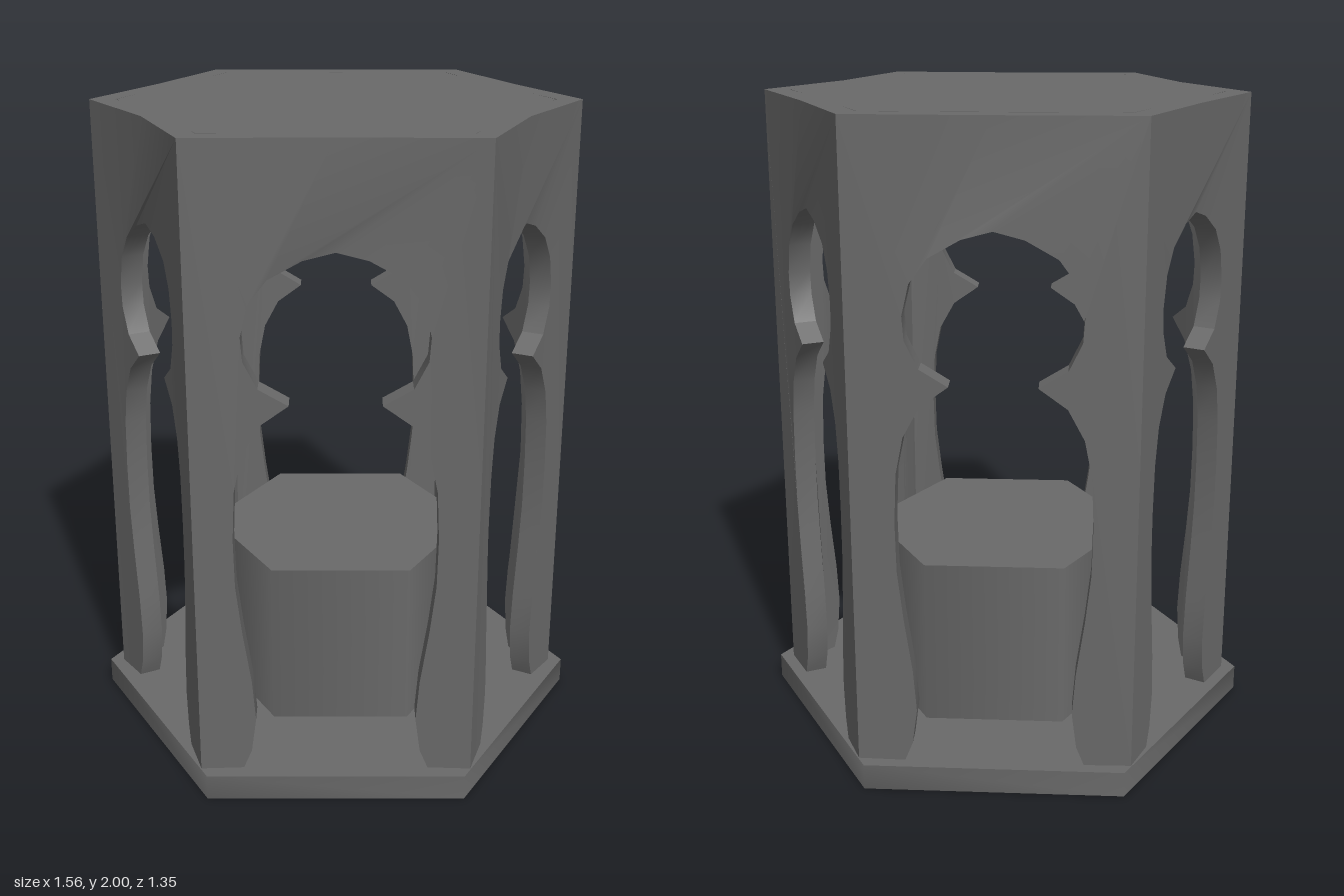
import * as THREE from 'three';
import { toCreasedNormals } from 'three/addons/utils/BufferGeometryUtils.js';

const material = new THREE.MeshStandardMaterial({ color: 0x696969 });
const BASE_TOP = 0.08, TOP = 2, WALL = 0.068;

// Corners [x, z] of the hollow hexagonal body, starting at the front face
const corners = [[-0.41, 0.635], [0.41, 0.635], [0.735, 0], [0.41, -0.635], [-0.41, -0.635], [-0.735, 0]];

// Per wall, from the front round by +x: arch width, sideways shift and inward bow
const panels = [
  { scale: 1, shift: 0, bow: 0.012 },
  { scale: 0.82, shift: 0.008, bow: 0.034 },
  { scale: 0.82, shift: 0.008, bow: 0.01 },
  { scale: 0.96, shift: 0, bow: -0.006 },
  { scale: 0.82, shift: -0.008, bow: 0.01 },
  { scale: 0.82, shift: -0.008, bow: 0.034 },
];

// Half outline of the keyhole arch [half width, y], from the floor to the tip
const arch = [
  [0.28, 0.08], [0.255, 0.14], [0.24, 0.25], [0.25, 0.38], [0.275, 0.55], [0.292, 0.7],
  [0.295, 0.85], [0.288, 1.0], [0.265, 1.11], [0.215, 1.2], [0.13, 1.26], [0.215, 1.31],
  [0.255, 1.39], [0.26, 1.46], [0.238, 1.55], [0.185, 1.62], [0.09, 1.672], [0, 1.695],
];

function hexPoints(radius, xOffset = 0, zOffset = 0) {
  return Array.from({ length: 6 }, (_, i) => new THREE.Vector2(
    xOffset + radius * Math.cos(i * Math.PI / 3), radius * Math.sin(i * Math.PI / 3) - zOffset));
}

// Horizontal slab extruded upwards from y0, shaded softly round its sides
function slab(name, shape, y0, height) {
  const geometry = new THREE.ExtrudeGeometry(shape, { depth: height, bevelEnabled: false });
  geometry.rotateX(-Math.PI / 2).translate(0, y0, 0);
  const mesh = new THREE.Mesh(toCreasedNormals(geometry, 1.2), material);
  mesh.name = name;
  return mesh;
}

// Direction of the body edge that starts at corner i
function edgeAngle(i) {
  const a = corners[(i + 6) % 6], b = corners[(i + 7) % 6];
  return Math.atan2(-(b[1] - a[1]), b[0] - a[0]);
}

// How far the inner face steps in at corner i so neighbouring panels meet
function miter(i) {
  const turn = edgeAngle(i) - edgeAngle(i - 1);
  return WALL * Math.abs(Math.tan(turn / 2));
}

// One wall panel with its arch open to the floor
function archPanel({ scale, shift, bow }, i) {
  const a = corners[i], b = corners[(i + 1) % 6];
  const half = Math.hypot(b[0] - a[0], b[1] - a[1]) / 2;

  const outline = [[half, BASE_TOP], [half, TOP], [0, TOP], [-half, TOP], [-half, BASE_TOP]];
  arch.forEach(([x, y]) => outline.push([shift - x * scale, y]));
  arch.slice(0, -1).reverse().forEach(([x, y]) => outline.push([shift + x * scale, y]));
  const shape = new THREE.Shape(outline.map(([x, y]) => new THREE.Vector2(x, y)));

  const geometry = new THREE.ExtrudeGeometry(shape, { depth: WALL, bevelEnabled: false });
  geometry.translate(0, 0, -WALL);
  const p = geometry.attributes.position;
  for (let k = 0; k < p.count; k++) {
    const x = p.getX(k), inner = p.getZ(k) < -WALL / 2;
    // mitred ends
    if (inner && x > half - 1e-4) p.setX(k, half - miter(i + 1));
    if (inner && x < -half + 1e-4) p.setX(k, -half + miter(i));
    // wall bowed slightly towards its middle
    p.setZ(k, p.getZ(k) - bow * (1 - (x / half) ** 2));
  }

  const mesh = new THREE.Mesh(toCreasedNormals(geometry, 0.5), material);
  mesh.name = 'archPanel' + (i + 1);
  mesh.position.set((a[0] + b[0]) / 2, 0, (a[1] + b[1]) / 2);
  mesh.rotation.y = edgeAngle(i);
  return mesh;
}

export function createModel() {
  const model = new THREE.Group();
  model.name = 'hexagonalLantern';

  // Base plate with a hexagonal hole that holds the pedestal
  const baseShape = new THREE.Shape(hexPoints(0.78));
  baseShape.holes.push(new THREE.Path(hexPoints(0.43, 0.015, -0.02)));
  model.add(slab('base', baseShape, 0, BASE_TOP));

  // Pedestal, its underside recessed in the base
  const pedestal = new THREE.Mesh(
    new THREE.CylinderGeometry(0.43, 0.43, 0.57, 6, 1, false, Math.PI / 6), material);
  pedestal.name = 'pedestal';
  pedestal.position.set(0.015, 0.325, -0.02);
  model.add(pedestal);

  // Six arched walls
  const walls = new THREE.Group();
  walls.name = 'walls';
  panels.forEach((panel, i) => walls.add(archPanel(panel, i)));
  model.add(walls);

  // Flat roof filling the space between the walls
  const roofShape = new THREE.Shape(corners.map(([x, z]) => new THREE.Vector2(x * 0.89, -z * 0.89)));
  model.add(slab('roof', roofShape, TOP - 0.075, 0.075));

  return model;
}
